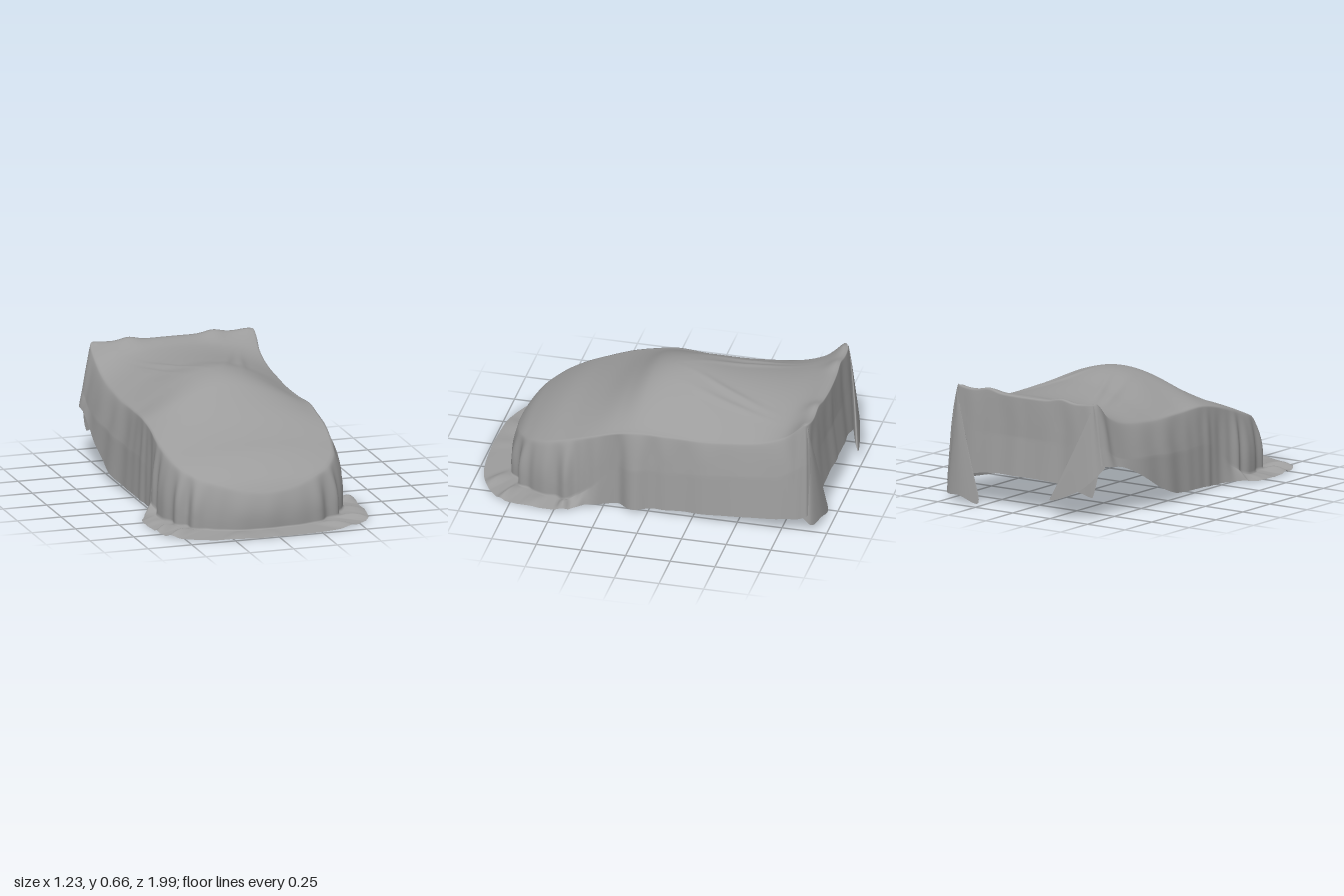
import * as THREE from 'three';

// Half outline, rear centre to nose centre: shoulder x,z | foot x,z,y | hem x,z,y
const ROWS = [
  [0, -0.9, 0, -0.91, 0.4, 0, -0.935, 0.19],
  [0.25, -0.89, 0.26, -0.91, 0.4, 0.26, -0.93, 0.18],
  [0.43, -0.885, 0.46, -0.9, 0.4, 0.48, -0.91, 0.12],
  [0.465, -0.86, 0.5, -0.87, 0.4, 0.525, -0.87, 0.09],
  [0.465, -0.75, 0.515, -0.75, 0.33, 0.545, -0.74, 0.08],
  [0.47, -0.4, 0.515, -0.4, 0.28, 0.54, -0.4, 0.05],
  [0.47, -0.1, 0.5, -0.1, 0.25, 0.515, -0.1, 0.03],
  [0.48, 0.08, 0.5, 0.08, 0.25, 0.51, 0.08, 0.02],
  [0.48, 0.2, 0.49, 0.2, 0.22, 0.495, 0.2, 0.01],
  [0.485, 0.33, 0.505, 0.33, 0.1, 0.53, 0.34, 0.01],
  [0.475, 0.45, 0.52, 0.45, 0.03, 0.605, 0.45, 0.006],
  [0.44, 0.6, 0.485, 0.615, 0.02, 0.605, 0.66, 0.006],
  [0.36, 0.71, 0.405, 0.74, 0.015, 0.565, 0.82, 0.006],
  [0.21, 0.795, 0.24, 0.825, 0.01, 0.37, 0.95, 0.006],
  [0, 0.83, 0, 0.855, 0.01, 0, 0.995, 0.006],
];
const SIDE = ROWS.slice(3);
const KEYS = SIDE.map(r => r[1]);
const CENTRE = [0.625, 0.607, 0.618, 0.66, 0.625, 0.545, 0.465, 0.415, 0.37, 0.315, 0.255, 0.21];
const EDGE = [0.63, 0.54, 0.465, 0.46, 0.465, 0.445, 0.41, 0.37, 0.32, 0.28, 0.24, 0.21];

const lookup = values => {
  const f = new THREE.CubicInterpolant(KEYS, values, 1, new Float32Array(1));
  return z => f.evaluate(THREE.MathUtils.clamp(z, KEYS[0], KEYS[KEYS.length - 1]))[0];
};
const bump = (x, c, w) => Math.exp(-(((x - c) / w) ** 2));
const { lerp, smoothstep: smooth } = THREE.MathUtils;

// Closed smooth loop from the mirrored half outline
function loop(pick) {
  const half = ROWS.map(pick);
  const other = half.slice(1, -1).reverse().map(p => new THREE.Vector3(-p.x, p.y, p.z));
  return new THREE.CatmullRomCurve3([...half, ...other], true);
}

// Height of the cloth where it rests on the body
const width = lookup(SIDE.map(r => r[0]));
const centre = lookup(CENTRE);
const edge = lookup(EDGE);
function height(x, z) {
  const ax = Math.abs(x);
  const u = Math.min(1, ax / Math.max(width(z), 0.02));
  // the cabin is narrower than the lower body
  const power = 1 + 0.4 * bump(z, 0, 0.25);
  let y = lerp(edge(z), centre(z), Math.pow(1 - u * u, power));
  // raised points along the rear edge and tension creases on the deck
  y += 0.018 * bump(ax, 0.24, 0.06) * bump(z, -0.88, 0.06);
  y += 0.008 * bump(ax, 0.45, 0.06) * bump(z, -0.88, 0.06);
  for (const [slope, c] of [[0.42, 0.1], [0.3, 0.2]]) {
    y += 0.008 * bump(ax, c - slope * (z + 0.25), 0.025) * bump(z, -0.4, 0.2);
  }
  return y;
}

function coverGeometry() {
  const N = 360, CAP = 44, DROP = 22, APRON = 12;
  const shoulder = loop(r => new THREE.Vector3(r[0], 0, r[1]));
  const foot = loop(r => new THREE.Vector3(r[2], r[4], r[3]));
  const hem = loop(r => new THREE.Vector3(r[5], r[7], r[6]));
  const pos = [0, height(0, 0), 0], index = [];
  const cols = [];
  for (let i = 0; i < N; i++) {
    const t = i / N, S = shoulder.getPoint(t), F = foot.getPoint(t), A = hem.getPoint(t);
    const tan = shoulder.getTangent(t);
    S.y = height(S.x, S.z);
    if (S.x > 0.3) {
      // bulge by the left door
      A.x += 0.03 * bump(S.z, 0.08, 0.06) - 0.02 * bump(S.z, 0.19, 0.05);
      F.x += 0.025 * bump(S.z, 0.08, 0.06) - 0.015 * bump(S.z, 0.19, 0.05);
    } else if (S.x < -0.3) {
      // the right hem rides up and flares at the rear
      A.y += 0.21 * smooth(-S.z, 0.15, 0.85) * smooth(-S.x, 0.42, 0.46);
      A.x -= 0.015 * bump(S.z, -0.35, 0.25);
      F.x -= 0.02 * bump(S.z, -0.45, 0.35);
    }
    const front = smooth(S.z, 0.25, 0.5);
    const corner = front * smooth(Math.abs(S.x), 0.12, 0.4);
    const fold = Math.sin(t * 150 + 2 * Math.sin(t * 31)) * 0.6 + Math.sin(t * 265 + 1) * 0.4;
    cols.push({ S, F, A, tan, front, corner, fold });
  }
  // cloth over the body
  for (let r = 1; r <= CAP; r++) {
    const k = r / CAP;
    for (const { S } of cols) pos.push(S.x * k, height(S.x * k, S.z * k), S.z * k);
  }
  // hanging sides with folds
  for (let r = 1; r <= DROP; r++) {
    const s = r / DROP;
    for (const { S, F, tan, front, corner, fold } of cols) {
      const out = lerp(Math.pow(s, 0.8), Math.pow(s, 0.65), front);
      const d = fold * (0.005 + 0.014 * corner) * Math.sin(Math.min(1, s * 1.3) * Math.PI * 0.6)
        + front * 0.012 * Math.sin(s * Math.PI);
      pos.push(lerp(S.x, F.x, out) + tan.z * d, lerp(S.y, F.y, s), lerp(S.z, F.z, out) - tan.x * d);
    }
  }
  // lower hem, lying on the ground around the nose
  for (let r = 1; r <= APRON; r++) {
    const s = r / APRON;
    for (const { F, A, tan, front, corner, fold } of cols) {
      const d = fold * (0.005 + 0.014 * corner) * (1 - 0.8 * s * front);
      const lift = front * Math.max(0, fold) * (0.012 + 0.022 * corner) * Math.sin(s * Math.PI * 0.85);
      pos.push(lerp(F.x, A.x, s) + tan.z * d,
        Math.max(0, lerp(F.y, A.y, s) + lift - front * s * 0.005),
        lerp(F.z, A.z, s) - tan.x * d);
    }
  }
  for (let i = 0; i < N; i++) {
    const j = (i + 1) % N;
    index.push(0, 1 + j, 1 + i);
    for (let r = 0; r < CAP + DROP + APRON - 1; r++) {
      const a = 1 + r * N + i, b = 1 + r * N + j;
      index.push(a, b, a + N, b, b + N, a + N);
    }
  }
  // the outline runs clockwise seen from above, so turn the faces outward
  return finish(pos, index.reverse());
}

// Loose cloth hanging from a rear corner to the given lower edge
function flapGeometry(side, lowerEdge) {
  const bottom = new THREE.CatmullRomCurve3(
    lowerEdge.map(p => new THREE.Vector3(side * p[0], p[1], p[2])));
  const top = new THREE.Vector3(side * 0.455, 0.635, -0.88);
  const N = 40, M = 20, pos = [], index = [];
  for (let r = 0; r <= M; r++) {
    const s = 0.02 + 0.98 * r / M;
    for (let i = 0; i <= N; i++) {
      const b = bottom.getPoint(i / N), out = Math.pow(s, 1.15);
      pos.push(lerp(top.x, b.x, out), lerp(top.y, b.y, s), lerp(top.z, b.z, Math.pow(s, 0.85)));
      if (r < M && i < N) {
        const a = r * (N + 1) + i, c = a + N + 1;
        index.push(a, a + 1, c, a + 1, c + 1, c);
      }
    }
  }
  // keep outward winding on the mirrored flap
  return finish(pos, side > 0 ? index.reverse() : index);
}

function finish(pos, index) {
  const g = new THREE.BufferGeometry();
  g.setAttribute('position', new THREE.Float32BufferAttribute(pos, 3));
  g.setIndex(index);
  g.computeVertexNormals();
  return g;
}

export function createModel() {
  const cloth = new THREE.MeshStandardMaterial({ color: 0x9c9c9c, side: THREE.DoubleSide });
  cloth.name = 'grey cloth';
  const group = new THREE.Group();
  group.name = 'carCover';
  const add = (name, geometry) => {
    const mesh = new THREE.Mesh(geometry, cloth);
    mesh.name = name;
    group.add(mesh);
  };
  add('drapedCloth', coverGeometry());
  add('rearFlapRight', flapGeometry(-1, [
    [0.525, 0.29, -0.87], [0.5, 0.25, -0.915], [0.42, 0.17, -0.955],
    [0.24, 0.1, -0.99], [0.25, 0.13, -0.975], [0.38, 0.18, -0.925],
  ]));
  add('rearFlapLeft', flapGeometry(1, [
    [0.52, 0.09, -0.87], [0.5, 0.04, -0.915], [0.4, 0.04, -0.945],
    [0.27, 0.01, -0.95], [0.28, 0.08, -0.94], [0.38, 0.16, -0.92],
  ]));
  return group;
}
